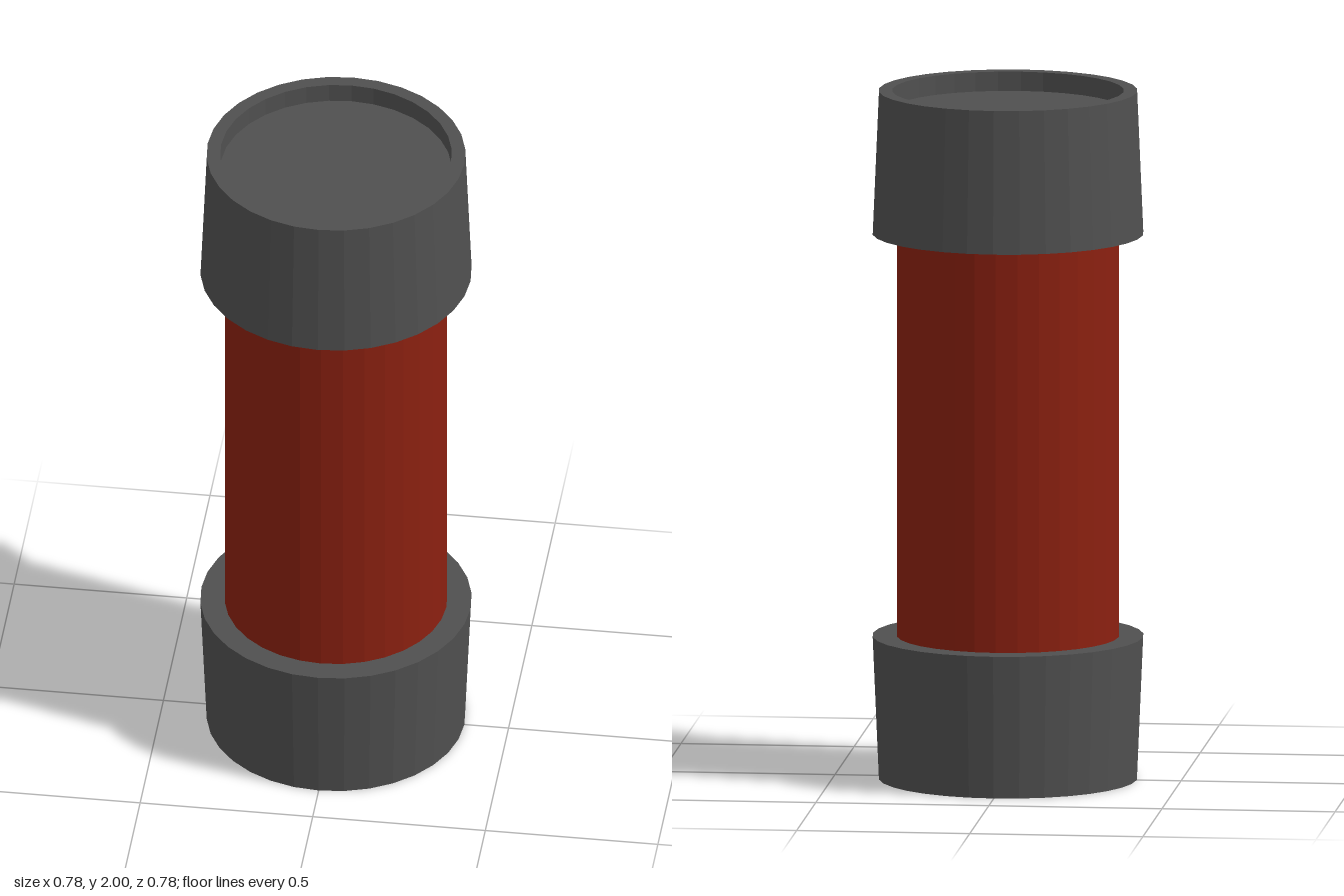
import * as THREE from 'three';

const SIDES = 32;

export function createModel() {
  const group = new THREE.Group();
  const capMaterial = new THREE.MeshStandardMaterial({ color: 0x505050, flatShading: true });
  const tubeMaterial = new THREE.MeshStandardMaterial({ color: 0x8b2010, flatShading: true });

  // Cylindrical body, its ends hidden inside the caps
  const tube = new THREE.Mesh(
    new THREE.CylinderGeometry(0.32, 0.32, 1.3, SIDES, 1, true), tubeMaterial);
  tube.name = 'tube';
  tube.position.y = 1;
  group.add(tube);

  // Tapered cap with a shallow recess in its end, measured from the model's middle
  const profile = [
    [0.32, 0.585], [0.39, 0.585], [0.372, 1], [0.333, 1], [0.333, 0.944], [0, 0.944],
  ].map(([r, y]) => new THREE.Vector2(r, y));
  const capGeometry = new THREE.LatheGeometry(profile, SIDES);

  for (const [name, turn] of [['topCap', 0], ['bottomCap', Math.PI]]) {
    const cap = new THREE.Mesh(capGeometry, capMaterial);
    cap.name = name;
    cap.position.y = 1;
    cap.rotation.x = turn;
    group.add(cap);
  }
  return group;
}
